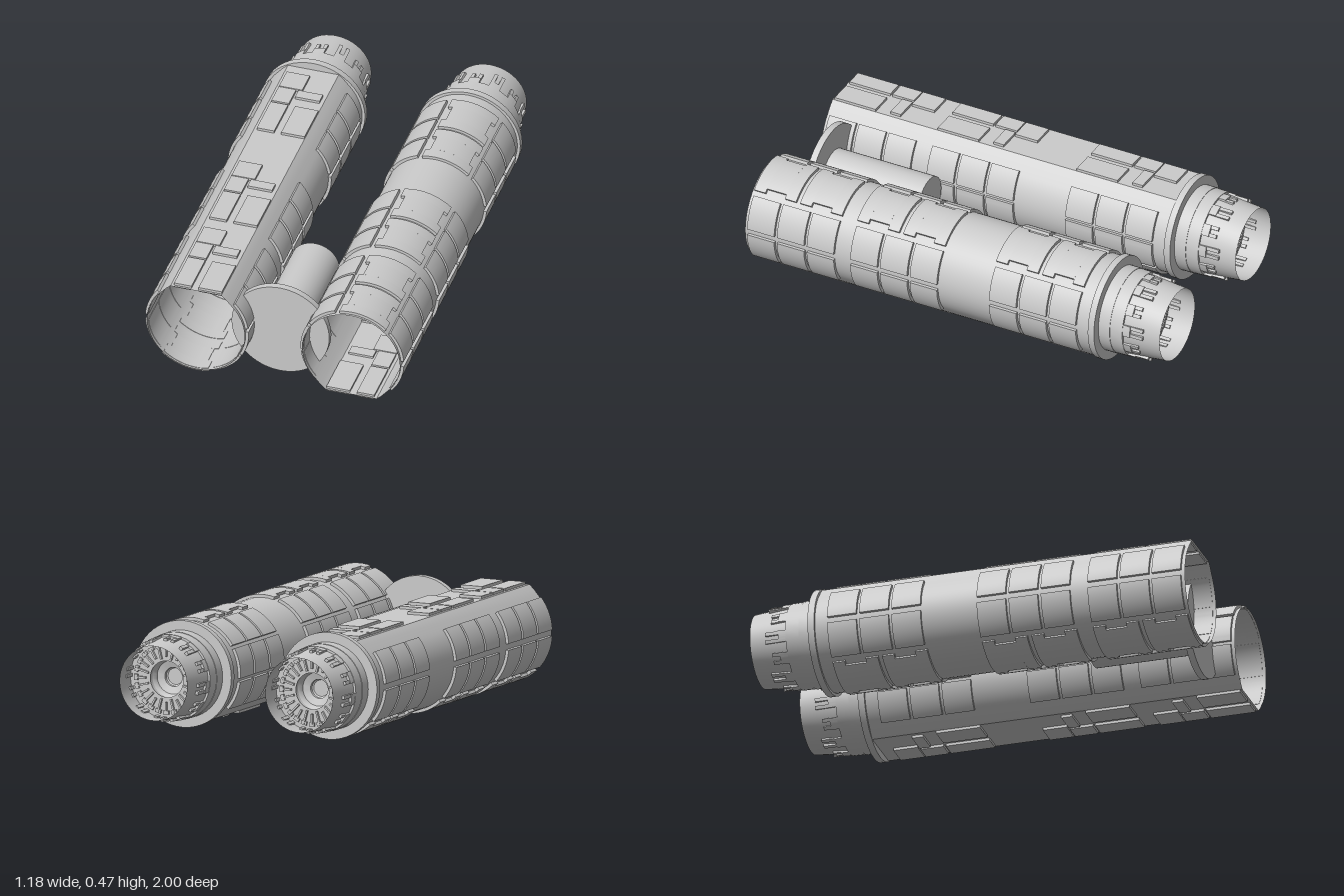
import * as THREE from 'three';
import { toCreasedNormals } from 'three/addons/utils/BufferGeometryUtils.js';

const material = new THREE.MeshStandardMaterial({ color: 0xcccccc, side: THREE.DoubleSide });
const rad = THREE.MathUtils.degToRad;
const CENTRE_Y = 0.235, SPACING = 0.353, R = 0.222;

function add(parent, name, geometry, x = 0, y = 0, z = 0) {
  const mesh = new THREE.Mesh(geometry, material);
  mesh.name = name;
  mesh.position.set(x, y, z);
  parent.add(mesh);
  return mesh;
}

// Surface of revolution about z from [radius, z] pairs
function lathe(points, segments = 48) {
  const geo = new THREE.LatheGeometry(points.map(([r, z]) => new THREE.Vector2(r, z)), segments);
  return toCreasedNormals(geo.rotateX(Math.PI / 2), 0.4);
}

// Curved plate between two angles (degrees), from z0 to z1
function sector(r0, r1, a0, a1, z0, z1) {
  const shape = new THREE.Shape();
  shape.absarc(0, 0, r1, rad(a0), rad(a1), false);
  shape.absarc(0, 0, r0, rad(a1), rad(a0), true);
  const geo = new THREE.ExtrudeGeometry(shape, { depth: z1 - z0, bevelEnabled: false, curveSegments: 6 });
  return toCreasedNormals(geo.translate(0, 0, z0), 0.4);
}

// Tube with a flat, chamfered strip along its underside
function bodyGeometry() {
  const geo = new THREE.CylinderGeometry(R, R, 1.685, 48, 1, true).rotateX(Math.PI / 2);
  const p = geo.attributes.position;
  for (let i = 0; i < p.count; i++) {
    const a = Math.atan2(p.getX(i), -p.getY(i)), d = Math.abs(a);
    let r = R;
    if (d < rad(30.1)) r = 0.2 / Math.cos(d);
    else if (d < rad(45)) r = THREE.MathUtils.mapLinear(d, rad(30), rad(45), 0.231, R);
    p.setXY(i, r * Math.sin(a), -r * Math.cos(a));
  }
  return toCreasedNormals(geo, 0.3);
}

function createEngine() {
  const engine = new THREE.Group();
  add(engine, 'bodyTube', bodyGeometry(), 0, 0, 0.1575);

  // Collar and tapering nozzle
  add(engine, 'collar', lathe([[0.2, -0.685], [0.235, -0.685], [0.235, -0.715], [0.193, -0.715]]));
  add(engine, 'nozzle', lathe([
    [0.193, -0.715], [0.193, -0.77], [0.191, -0.77], [0.19, -0.83], [0.18, -0.83], [0.164, -1],
  ]));

  // Three groups of armour plates
  const columns = [[-40, -3], [4, 42], [110, 147], [151, 184], [188, 222]];
  const greebles = [ // x0, x1, z0, z1 on the flat strip
    [-0.003, 0.102, 0, 0.11], [0.023, 0.102, 0.115, 0.22], [-0.099, 0.012, 0.115, 0.165],
    [-0.115, -0.009, 0.23, 0.43], [0.023, 0.102, 0.23, 0.43],
  ];
  for (const start of [-0.625, 0.055, 0.56]) {
    for (const [a0, a1] of columns) {
      for (let i = 0; i < 3; i++) {
        const z = start + i * 0.146;
        add(engine, 'sidePlate', sector(R - 0.002, 0.235, a0, a1, z, z + 0.132));
      }
    }
    // Waisted wide plates opposite the flat strip
    for (let i = 0; i < 2; i++) {
      const z = start + i * 0.225;
      add(engine, 'widePlateEnd', sector(R - 0.002, 0.235, 48, 104, z, z + 0.055));
      add(engine, 'widePlateWaist', sector(R - 0.002, 0.235, 53, 99, z + 0.055, z + 0.15));
      add(engine, 'widePlateEnd', sector(R - 0.002, 0.235, 48, 104, z + 0.15, z + 0.205));
    }
    for (const [x0, x1, z0, z1] of greebles) {
      add(engine, 'flatPanel', new THREE.BoxGeometry(x1 - x0, 0.022, z1 - z0),
        (x0 + x1) / 2, -0.201, start + (z0 + z1) / 2);
    }
  }

  // Forked clamps around the nozzle
  for (let i = 0; i < 12; i++) {
    const a = i * 30 + 8;
    add(engine, 'clampBase', sector(0.172, 0.188, a - 8, a + 8, -0.865, -0.83));
    for (const s of [-1, 1]) {
      const b = a + s * 5.5;
      add(engine, 'clampProng', sector(0.166, 0.184, b - 2.5, b + 2.5, i % 2 ? -0.9 : -0.925, -0.865));
    }
  }

  // Fan with radial ribs and a stepped hub
  add(engine, 'fanDisc', new THREE.RingGeometry(0.08, 0.176, 48), 0, 0, -0.87);
  for (let i = 0; i < 24; i++) {
    const spoke = new THREE.Group();
    spoke.name = 'fanSpoke';
    spoke.rotation.z = rad(i * 15);
    add(spoke, 'rib', new THREE.BoxGeometry(i % 2 ? 0.065 : 0.045, 0.008, 0.024), 0.122, 0, -0.87);
    add(spoke, 'tipBlock', new THREE.BoxGeometry(0.016, 0.026, 0.02), 0.146, 0, -0.87);
    engine.add(spoke);
  }
  add(engine, 'fanRim', lathe([[0.155, -0.87], [0.155, -0.855], [0.168, -0.855], [0.168, -0.87]]));
  add(engine, 'hub', lathe([
    [0.088, -0.87], [0.085, -0.84], [0.076, -0.825], [0.074, -0.815],
    [0.042, -0.805], [0.042, -0.79], [0.036, -0.785], [0, -0.785],
  ]));
  return engine;
}

export function createModel() {
  const model = new THREE.Group();
  model.name = 'twinEngines';

  // The second engine is the first turned half round, flat strip on top
  for (const s of [1, -1]) {
    const engine = createEngine();
    engine.name = s > 0 ? 'leftEngine' : 'rightEngine';
    engine.position.set(s * SPACING, CENTRE_Y, 0);
    engine.rotation.z = s > 0 ? 0 : Math.PI;
    model.add(engine);
  }

  // Connecting drum and its front plate
  add(model, 'drum', new THREE.CylinderGeometry(0.11, 0.11, 0.48, 40).rotateX(Math.PI / 2), 0, CENTRE_Y, 0.64);
  add(model, 'frontDisc', new THREE.CylinderGeometry(R, R, 0.03, 64).rotateX(Math.PI / 2), 0, CENTRE_Y, 0.885);
  return model;
}
